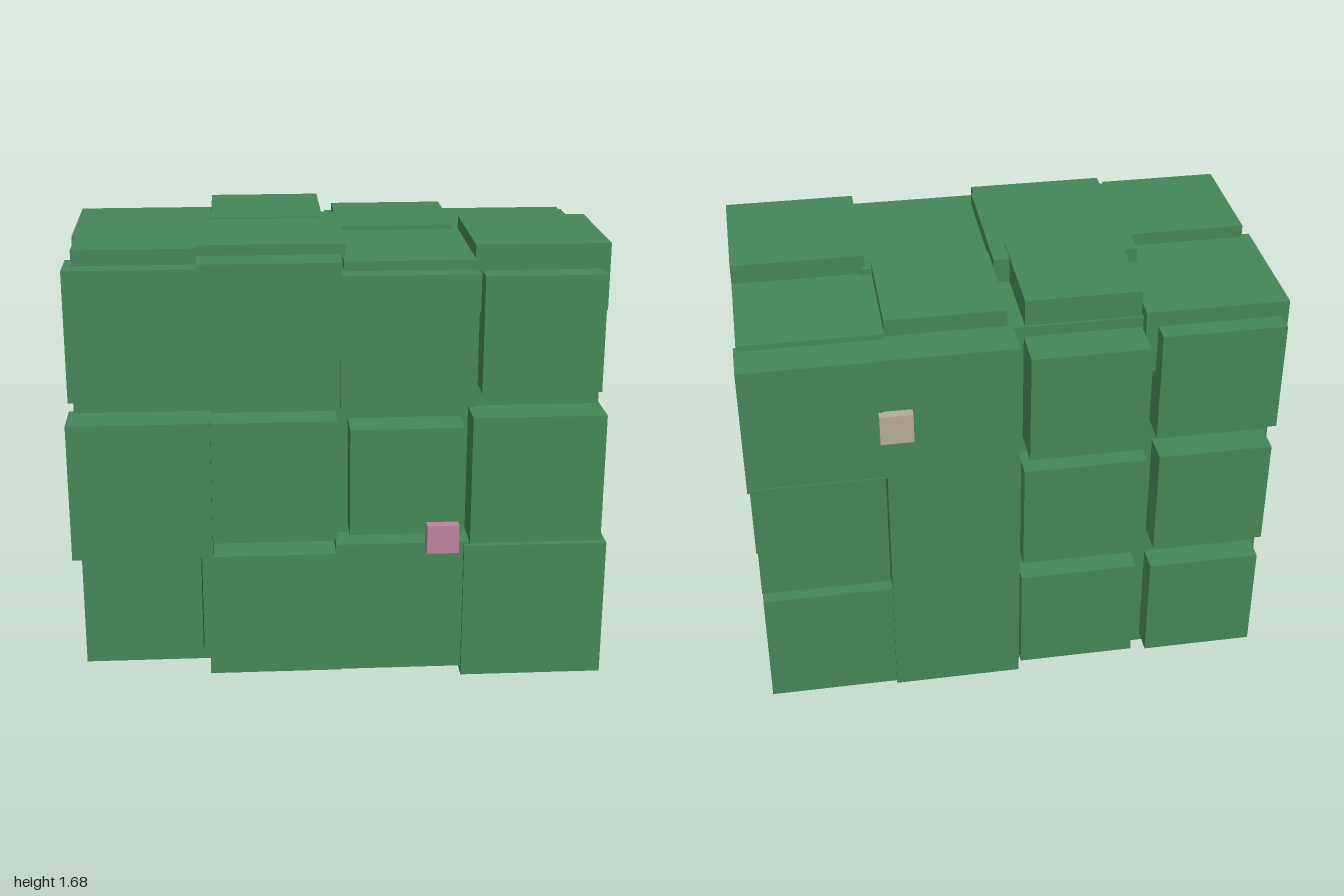
import * as THREE from 'three';

const mat = (name, color) => {
  const m = new THREE.MeshStandardMaterial({ color });
  m.name = name;
  return m;
};

export function createModel() {
  const group = new THREE.Group();
  const leaf = mat('leafGreen', 0x458759);
  const pink = mat('blossomPink', 0xbd84a0);
  const tan = mat('blossomTan', 0xb9ab98);

  // Box given by its limits along each axis
  const box = (name, material, x0, x1, y0, y1, z0, z1) => {
    const mesh = new THREE.Mesh(new THREE.BoxGeometry(x1 - x0, y1 - y0, z1 - z0), material);
    mesh.position.set((x0 + x1) / 2, (y0 + y1) / 2, (z0 + z1) / 2);
    mesh.name = name;
    group.add(mesh);
  };

  // Solid middle of the hedge
  box('hedgeCore', leaf, -0.98, 0.97, 0.03, 1.58, -0.44, 0.44);

  // Front leaf blocks: x0, x1, y0, y1, outer z
  const front = [
    [-0.96, -0.525, 0.11, 0.54, 0.57],
    [-0.5, 0, 0.03, 0.515, 0.565],
    [-0.02, 0.5, 0.03, 0.55, 0.56],
    [0.46, 1.0, 0, 0.54, 0.578],
    [-1.0, -0.48, 0.525, 1.05, 0.588],
    [-0.48, -0.015, 0.575, 1.04, 0.56],
    [0.03, 0.45, 0.595, 1.01, 0.575],
    [0.48, 0.975, 0.555, 1.05, 0.585],
    [-0.99, -0.51, 1.12, 1.61, 0.535],
    [-0.515, 0, 1.11, 1.635, 0.57],
    [-0.005, 0.49, 1.095, 1.59, 0.588],
    [0.51, 0.95, 1.14, 1.58, 0.58],
  ];
  front.forEach(([x0, x1, y0, y1, z], i) => box(`frontLeafBlock${i + 1}`, leaf, x0, x1, y0, y1, z - 0.17, z));

  // Back leaf blocks: x0, x1, y0, y1, outer z
  const back = [
    [0.48, 0.97, 0.05, 0.525, -0.54],
    [-0.01, 0.48, 0.045, 0.54, -0.55],
    [-0.47, -0.02, 0.08, 0.51, -0.54],
    [-0.96, -0.53, 0.07, 0.5, -0.54],
    [0.49, 0.97, 0.61, 1.09, -0.59],
    [-0.01, 0.48, 0.52, 1.08, -0.55],
    [-0.48, -0.02, 0.61, 1.04, -0.57],
    [-0.96, -0.53, 0.61, 1.04, -0.56],
    [0.49, 0.985, 1.075, 1.58, -0.585],
    [0, 0.5, 1.08, 1.58, -0.58],
    [-0.465, -0.035, 1.11, 1.54, -0.595],
    [-0.97, -0.515, 1.13, 1.56, -0.555],
  ];
  back.forEach(([x0, x1, y0, y1, z], i) => box(`backLeafBlock${i + 1}`, leaf, x0, x1, y0, y1, z, z + 0.17));

  // Top leaf blocks: x0, x1, z0, z1, top y
  const top = [
    [-0.995, -0.47, -0.48, 0.035, 1.62],
    [-0.96, -0.515, 0.015, 0.465, 1.668],
    [-0.52, 0.02, -0.11, 0.44, 1.674],
    [-0.465, -0.04, -0.43, 0.005, 1.68],
    [0.02, 0.46, -0.42, 0.015, 1.643],
    [0.01, 0.5, -0.015, 0.515, 1.625],
    [0.485, 0.975, 0, 0.492, 1.674],
    [0.46, 0.975, -0.44, 0.01, 1.6],
  ];
  top.forEach(([x0, x1, z0, z1, y], i) => box(`topLeafBlock${i + 1}`, leaf, x0, x1, y - 0.25, y, z0, z1));

  // Small blossoms
  box('frontBlossom', pink, 0.315, 0.435, 0.53, 0.64, 0.55, 0.617);
  box('backBlossom', tan, 0.385, 0.505, 1.255, 1.37, -0.617, -0.57);

  return group;
}
